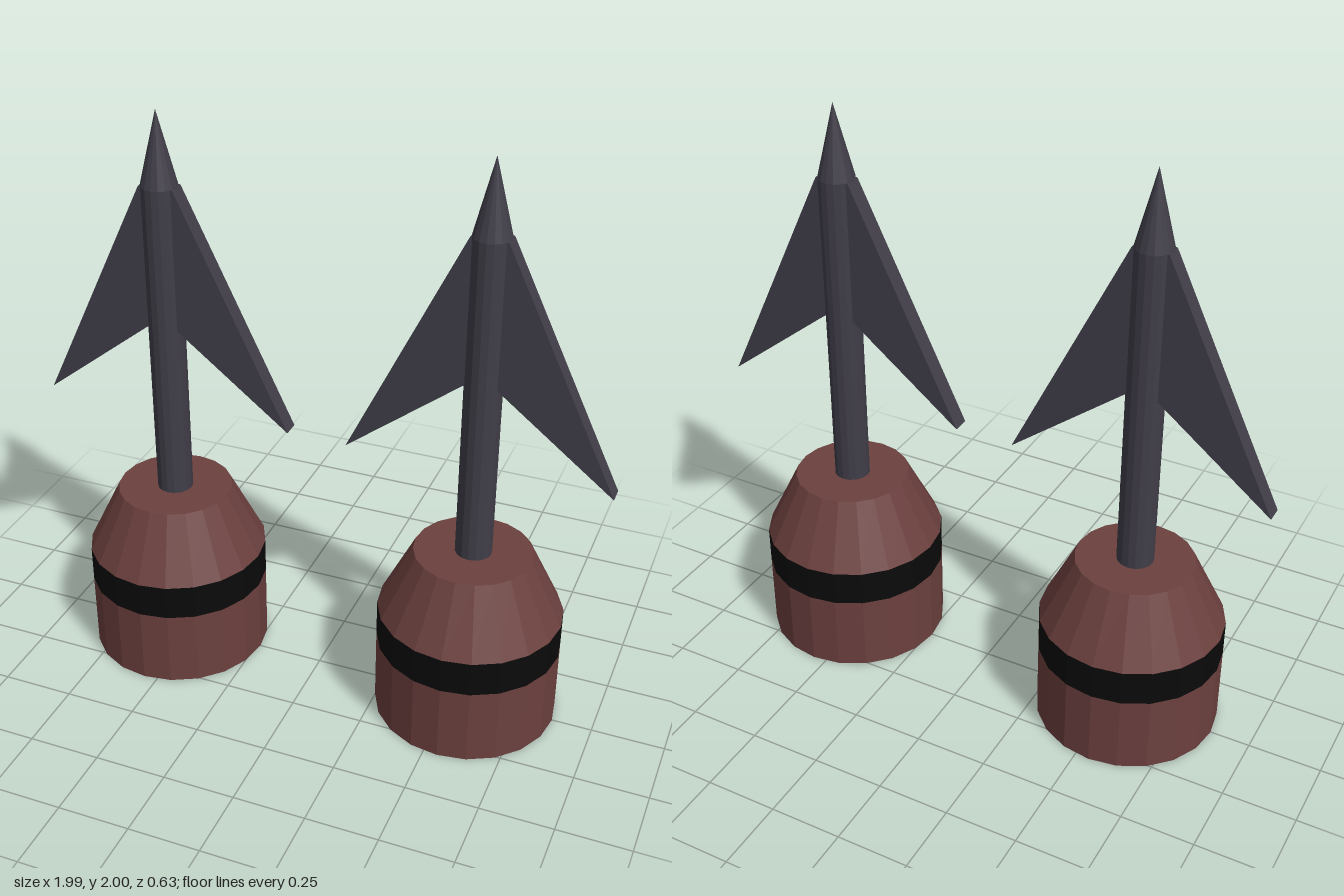
import * as THREE from 'three';

const material = (color) => new THREE.MeshStandardMaterial({ color, flatShading: true });

export function createModel() {
  const model = new THREE.Group();
  model.name = 'barbedHarpoons';
  const red = material(0x6b403e);
  const black = material(0x0a0a0a);
  const steel = material(0x403d48);

  const add = (parent, name, geometry, mat) => {
    const mesh = new THREE.Mesh(geometry, mat);
    mesh.name = name;
    parent.add(mesh);
    return mesh;
  };

  // Upright cylinder or cone between two heights
  const column = (parent, name, rTop, rBottom, y0, y1, sides, mat, open = false) => {
    const geometry = new THREE.CylinderGeometry(rTop, rBottom, y1 - y0, sides, 1, open);
    geometry.translate(0, (y0 + y1) / 2, 0);
    return add(parent, name, geometry, mat);
  };

  // Swept-back barb plate; its inner edge is buried in the shaft
  const barb = (parent, name, side) => {
    const points = [[0, 1.75], [0.06, 1.75], [0.445, 0.95], [0.06, 1.25], [0, 1.29]];
    const shape = new THREE.Shape(points.map(([x, y]) => new THREE.Vector2(x * side, y)));
    const geometry = new THREE.ExtrudeGeometry(shape, { depth: 0.06, bevelEnabled: false });
    geometry.translate(0, 0, -0.03);
    add(parent, name, geometry, steel);
  };

  for (const [label, x] of [['left', 0.548], ['right', -0.548]]) {
    const harpoon = new THREE.Group();
    harpoon.name = `${label}Harpoon`;
    harpoon.position.x = x;

    // Weighted base with a dark band and a tapered shoulder
    column(harpoon, 'base', 0.314, 0.314, 0, 0.275, 20, red);
    column(harpoon, 'band', 0.314, 0.314, 0.275, 0.4, 20, black, true);
    column(harpoon, 'shoulder', 0.2, 0.314, 0.4, 0.63, 20, red);

    // Shaft, point and barbs
    column(harpoon, 'shaft', 0.062, 0.062, 0.62, 1.75, 16, steel);
    column(harpoon, 'point', 0, 0.062, 1.75, 2, 16, steel);
    barb(harpoon, 'leftBarb', 1);
    barb(harpoon, 'rightBarb', -1);
    model.add(harpoon);
  }
  return model;
}
